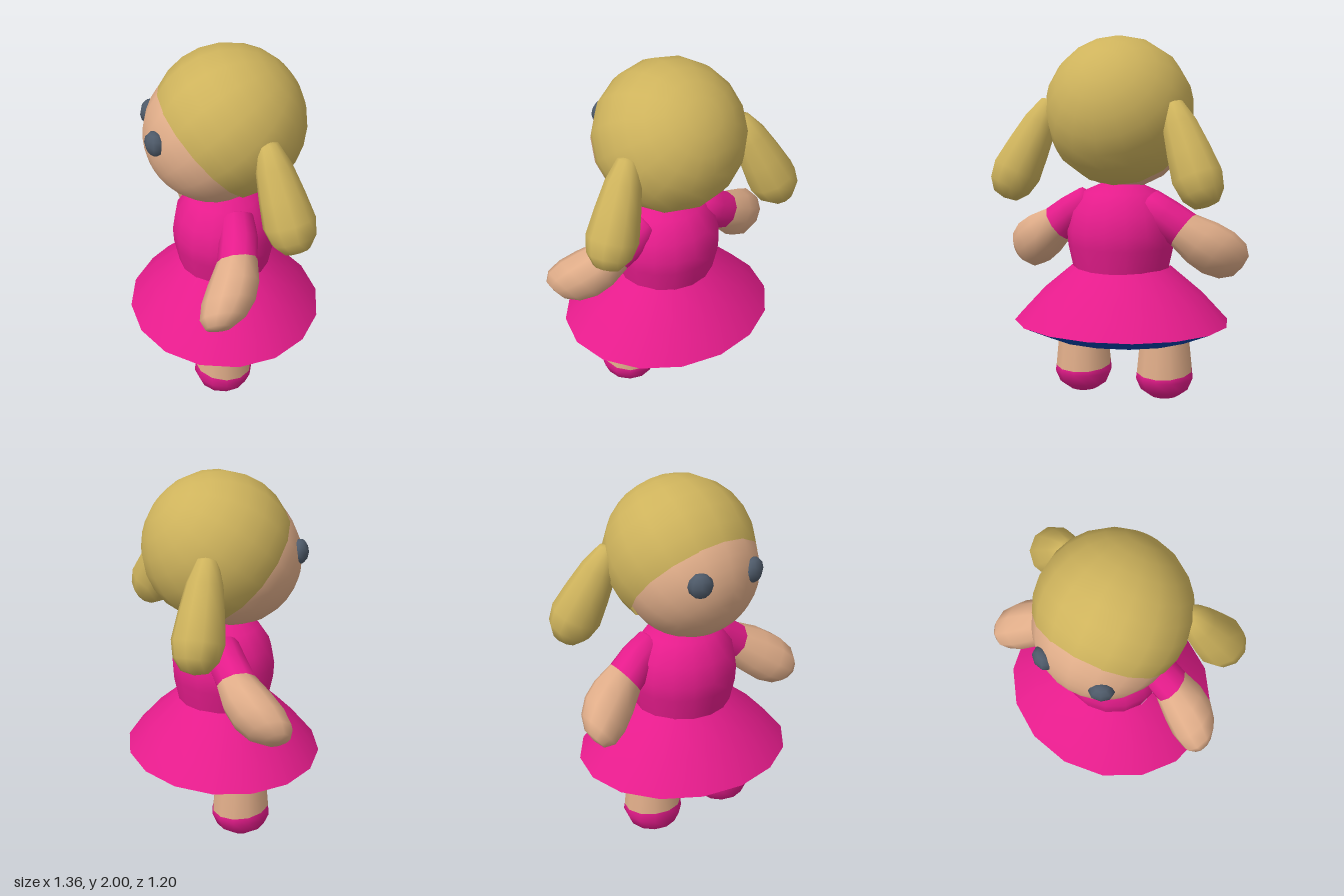
import * as THREE from 'three';
import { mergeVertices } from 'three/addons/utils/BufferGeometryUtils.js';

const material = (name, color) => {
  const m = new THREE.MeshStandardMaterial({ color });
  m.name = name;
  return m;
};

export function createModel() {
  const skin = material('skin', 0xe0ad89);
  const pink = material('pink cloth', 0xe61c8c);
  const hair = material('blond hair', 0xceb35c);
  hair.side = THREE.DoubleSide;
  const navy = material('navy lining', 0x0243ac);
  const slate = material('slate eyes', 0x4e5a69);

  // The doll is turned away from the front axis.
  const doll = new THREE.Group();
  doll.name = 'doll';
  doll.rotation.y = THREE.MathUtils.degToRad(-35);
  doll.position.set(-0.03, 0, 0.045);

  const add = (name, geometry, mat, parent = doll) => {
    const mesh = new THREE.Mesh(geometry, mat);
    mesh.name = name;
    parent.add(mesh);
    return mesh;
  };
  const lathe = (points, sides) =>
    new THREE.LatheGeometry(points.map(([r, y]) => new THREE.Vector2(r, y)), sides);

  // Group whose local y runs from one point towards another
  const axisGroup = (name, from, to) => {
    const g = new THREE.Group();
    const a = new THREE.Vector3(...from);
    const dir = new THREE.Vector3(...to).sub(a).normalize();
    g.name = name;
    g.position.copy(a);
    g.quaternion.setFromUnitVectors(new THREE.Vector3(0, 1, 0), dir);
    doll.add(g);
    return g;
  };

  // Bends an arm piece forwards along its length, then smooths it without a seam
  const bend = (geometry) => {
    const p = geometry.attributes.position;
    for (let i = 0; i < p.count; i++) {
      p.setZ(i, p.getZ(i) + 0.46 * p.getY(i) ** 2);
    }
    geometry.deleteAttribute('normal');
    geometry.deleteAttribute('uv');
    const smooth = mergeVertices(geometry);
    smooth.computeVertexNormals();
    return smooth;
  };

  // Tilts the rim where shoe and leg meet, higher at the front
  const tiltRim = (geometry, rimY) => {
    const p = geometry.attributes.position;
    for (let i = 0; i < p.count; i++) {
      if (Math.abs(p.getY(i) - rimY) < 1e-4) p.setY(i, rimY + 0.12 * p.getZ(i));
    }
    return geometry;
  };

  // Dress, a little wider than deep
  add('bodice', lathe([[0.25, 0.7], [0.255, 0.74], [0.28, 0.86], [0.285, 0.94],
    [0.265, 1.05], [0.195, 1.155], [0.1, 1.2], [0, 1.215]], 16).scale(1.06, 1, 0.99), pink);
  add('skirt', lathe([[0.605, 0.43], [0.46, 0.585], [0.275, 0.74]], 16).scale(1, 1, 0.885), pink);
  add('skirtLining', lathe([[0, 0.36], [0.44, 0.36], [0.605, 0.43]], 16).scale(1, 1, 0.885), navy);

  // Head: face dome and hair cap meet along one slanted plane
  const { degToRad } = THREE.MathUtils;
  const slant = degToRad(-50);
  const face = add('face',
    new THREE.SphereGeometry(0.37, 16, 9, 0, Math.PI * 2, degToRad(93), degToRad(87)), skin);
  face.position.set(0, 1.538, 0.052);
  face.rotation.x = slant;
  const cap = add('hairCap',
    new THREE.SphereGeometry(0.408, 16, 8, 0, Math.PI * 2, 0, degToRad(115)), hair);
  cap.position.set(0, 1.596, -0.03);
  cap.rotation.x = slant;

  for (const s of [1, -1]) {
    const side = s > 0 ? 'left' : 'right';

    // Eye
    const eye = add(side + 'Eye', new THREE.SphereGeometry(0.067, 8, 6), slate);
    eye.position.set(s * 0.168, 1.59, 0.37);
    eye.rotation.y = s * 0.45;
    eye.scale.z = 0.72;

    // Pigtail
    const tail = axisGroup(side + 'Pigtail', [s * 0.345, 1.645, -0.175], [s * 0.575, 1.12, -0.305]);
    add('pigtailHair', lathe([[0, -0.02], [0.055, 0], [0.095, 0.12], [0.12, 0.27],
      [0.138, 0.41], [0.118, 0.5], [0.07, 0.56], [0, 0.575]], 10), hair, tail);

    // Arm with short sleeve
    const arm = axisGroup(side + 'Arm', [s * 0.17, 1.1, -0.05], [s * 0.68, 0.735, -0.05]);
    add('sleeve', bend(lathe([[0, -0.04], [0.09, 0], [0.104, 0.12], [0.108, 0.24]], 10)), pink, arm);
    add('forearm', bend(lathe([[0.108, 0.24], [0.136, 0.36], [0.142, 0.46], [0.12, 0.545],
      [0.07, 0.595], [0, 0.605]], 10)), skin, arm);

    // Leg with shoe
    const leg = new THREE.Group();
    leg.name = side + 'Leg';
    leg.position.set(s * 0.242, 0, 0.04);
    doll.add(leg);
    add('shoe', tiltRim(lathe([[0, 0], [0.08, 0.005], [0.135, 0.045], [0.163, 0.11],
      [0.158, 0.15]], 12), 0.15), pink, leg);
    add('shin', tiltRim(lathe([[0.158, 0.15], [0.137, 0.36], [0.125, 0.45]], 12), 0.15), skin, leg);
  }

  const model = new THREE.Group();
  model.name = 'ragDoll';
  model.add(doll);
  return model;
}
